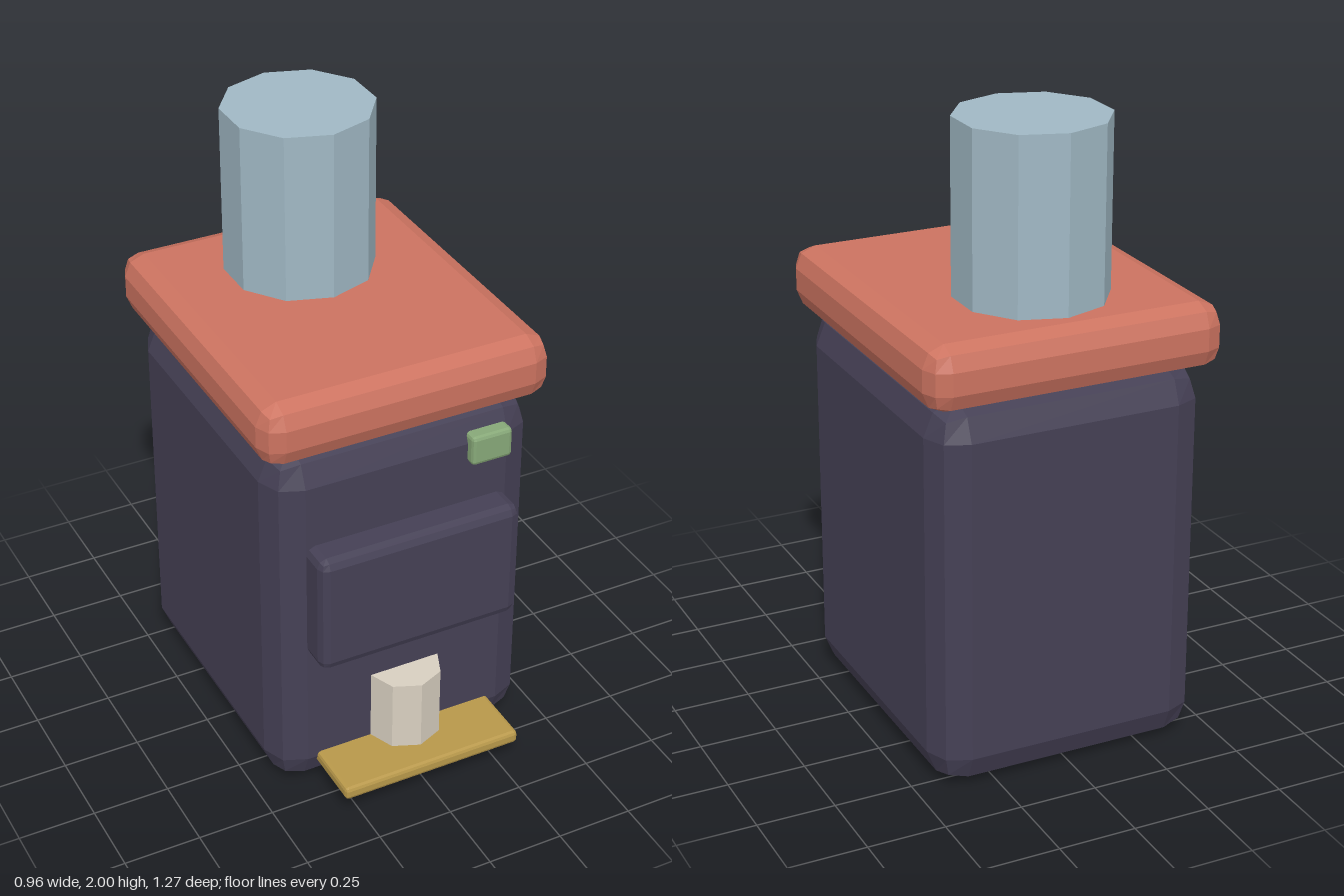
import * as THREE from 'three';
import { RoundedBoxGeometry } from 'three/addons/geometries/RoundedBoxGeometry.js';

export function createModel() {
  const model = new THREE.Group();
  model.name = 'stove';

  const add = (name, geometry, color, x, y, z) => {
    const mesh = new THREE.Mesh(geometry, new THREE.MeshStandardMaterial({ color, flatShading: true }));
    mesh.name = name;
    mesh.position.set(x, y, z);
    model.add(mesh);
  };

  // Bevelled box given by its [min, max] range on each axis
  const block = (name, color, [x0, x1], [y0, y1], [z0, z1], bevel) =>
    add(name, new RoundedBoxGeometry(x1 - x0, y1 - y0, z1 - z0, 1, bevel), color,
      (x0 + x1) / 2, (y0 + y1) / 2, (z0 + z1) / 2);

  // Upright faceted cylinder standing at y0
  const pipe = (name, color, radius, sides, y0, y1, z) =>
    add(name, new THREE.CylinderGeometry(radius, radius, y1 - y0, sides), color, 0, (y0 + y1) / 2, z);

  const dark = 0x454055;

  // Main housing and overhanging lid
  block('body', dark, [-0.445, 0.445], [0, 1.245], [-0.6, 0.433], 0.105);
  block('lid', 0xcc7360, [-0.48, 0.48], [1.245, 1.45], [-0.637, 0.463], 0.067);

  // Ten-sided chimney towards the back
  pipe('chimney', 0xa0b8c4, 0.24, 10, 1.43, 2, -0.295);

  // Front fittings, set into the body
  block('frontPanel', dark, [-0.34, 0.34], [0.525, 0.932], [0.37, 0.535], 0.03);
  block('indicator', 0x87a878, [0.204, 0.342], [1.075, 1.175], [0.4, 0.465], 0.012);
  block('tray', 0xb8984a, [-0.308, 0.308], [0.078, 0.122], [0.3, 0.635], 0.012);
  pipe('cup', 0xd8cfc0, 0.12, 8, 0.115, 0.365, 0.43);

  return model;
}
